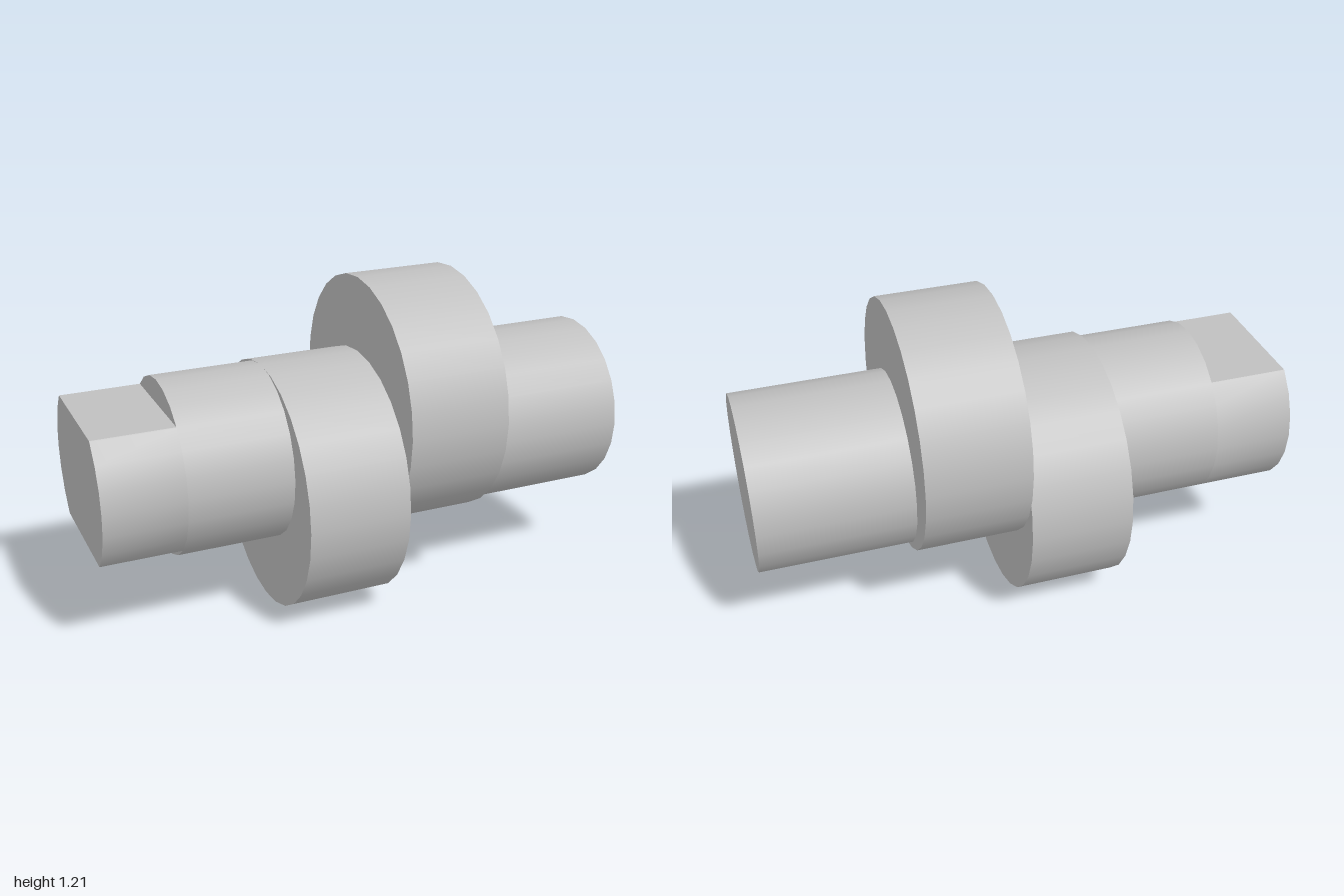
import * as THREE from 'three';
import { toCreasedNormals } from 'three/addons/utils/BufferGeometryUtils.js';

const AXIS_Y = 0.604;      // height of the shaft axis
const SHAFT_R = 0.325;
const LOBE_R = 0.4645;
const OFFSET = LOBE_R - SHAFT_R; // eccentricity of the lobes
const FLAT = 0.2325;       // half distance between the two end flats

const steel = new THREE.MeshStandardMaterial({ color: 0xc0c0c0 });
steel.name = 'steel grey';

// Cylinder lying along x between two positions
function disc(name, x0, x1, radius, y, sides) {
  const geometry = new THREE.CylinderGeometry(radius, radius, x1 - x0, sides);
  geometry.rotateZ(-Math.PI / 2);
  const mesh = new THREE.Mesh(geometry, steel);
  mesh.name = name;
  mesh.position.set((x0 + x1) / 2, y, 0);
  return mesh;
}

// Round end with its top and bottom milled flat
function flattedEnd(x0, x1) {
  const points = [];
  const at = (i) => {
    const a = (i / 24) * Math.PI * 2;
    return new THREE.Vector2(Math.cos(a) * SHAFT_R, Math.sin(a) * SHAFT_R);
  };
  for (let i = 0; i < 24; i++) {
    const p = at(i), q = at(i + 1);
    const pIn = Math.abs(p.y) <= FLAT, qIn = Math.abs(q.y) <= FLAT;
    if (pIn) points.push(p);
    // corner where the round meets a flat
    if (pIn !== qIn) {
      const level = Math.sign(p.y) * FLAT;
      points.push(p.clone().lerp(q, (level - p.y) / (q.y - p.y)));
    }
  }
  const solid = new THREE.ExtrudeGeometry(new THREE.Shape(points), { depth: x1 - x0, bevelEnabled: false });
  solid.rotateY(Math.PI / 2);
  const mesh = new THREE.Mesh(toCreasedNormals(solid, 0.5), steel);
  mesh.name = 'flattedEnd';
  mesh.position.set(x0, AXIS_Y, 0);
  return mesh;
}

export function createModel() {
  const model = new THREE.Group();
  model.name = 'eccentricShaft';
  model.add(
    flattedEnd(-1, -0.705),
    disc('rightJournal', -0.705, -0.32, SHAFT_R, AXIS_Y, 24),
    disc('lowerLobe', -0.32, 0.06, LOBE_R, AXIS_Y - OFFSET, 28),
    disc('upperLobe', 0.06, 0.44, LOBE_R, AXIS_Y + OFFSET, 28),
    disc('leftJournal', 0.44, 1, SHAFT_R, AXIS_Y, 24),
  );
  return model;
}
